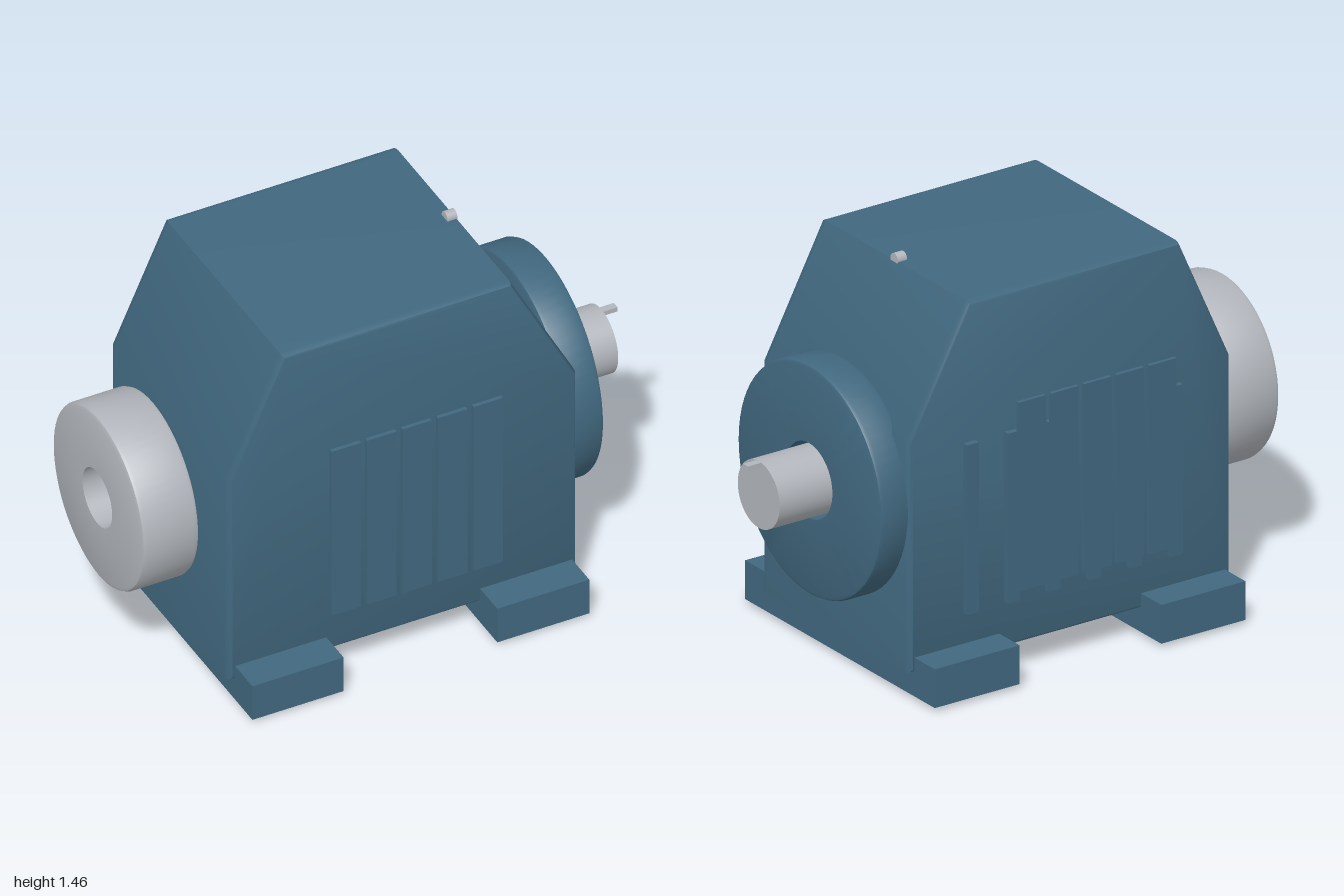
import * as THREE from 'three';
import { toCreasedNormals } from 'three/addons/utils/BufferGeometryUtils.js';

export function createModel() {
  const model = new THREE.Group();
  model.name = 'gearbox';
  const paint = new THREE.MeshStandardMaterial({ name: 'blue paint', color: 0x41687f });
  const steel = new THREE.MeshStandardMaterial({ name: 'bare steel', color: 0xb2b6bc });
  const axisY = 0.697;

  function add(name, geometry, material, x = 0, y = 0, z = 0) {
    const mesh = new THREE.Mesh(geometry, material);
    mesh.name = name;
    mesh.position.set(x, y, z);
    model.add(mesh);
    return mesh;
  }

  // Box given by its limits on each axis
  function box(name, material, x0, x1, y0, y1, z0, z1) {
    return add(name, new THREE.BoxGeometry(x1 - x0, y1 - y0, z1 - z0), material,
      (x0 + x1) / 2, (y0 + y1) / 2, (z0 + z1) / 2);
  }

  // Chamfered ring turned about the shaft axis, from x0 to x1
  function ring(name, material, x0, x1, outer, inner, chamfer) {
    const profile = [
      [inner, x0], [outer - chamfer, x0], [outer - chamfer * 0.3, x0 + chamfer * 0.3],
      [outer, x0 + chamfer], [outer, x1 - chamfer], [outer - chamfer * 0.3, x1 - chamfer * 0.3],
      [outer - chamfer, x1], [inner, x1], [inner, x0],
    ].map(([r, h]) => new THREE.Vector2(r, h));
    const geometry = toCreasedNormals(new THREE.LatheGeometry(profile, 64), 0.6);
    geometry.rotateZ(-Math.PI / 2);
    return add(name, geometry, material, 0, axisY, 0);
  }

  // Solid cylinder along x
  function rod(name, material, x0, x1, radius, y) {
    const geometry = new THREE.CylinderGeometry(radius, radius, x1 - x0, 48);
    geometry.rotateZ(-Math.PI / 2);
    return add(name, geometry, material, (x0 + x1) / 2, y, 0);
  }

  // Housing with sloping shoulders and softened front and back edges
  const outline = new THREE.Shape([
    [-0.72, 0.1], [0.625, 0.1], [0.625, 0.96], [0.375, 1.43], [-0.51, 1.43], [-0.72, 0.96],
  ].map(([x, y]) => new THREE.Vector2(x, y)));
  const housing = new THREE.ExtrudeGeometry(outline, {
    depth: 0.82, bevelEnabled: true, bevelThickness: 0.03, bevelSize: 0.015,
    bevelOffset: -0.015, bevelSegments: 3,
  });
  add('housing', toCreasedNormals(housing, 0.6), paint, 0, 0, -0.413);

  // Mounting feet
  box('leftFoot', paint, 0.25, 0.605, 0.015, 0.16, -0.565, 0.565);
  box('rightFoot', paint, -0.695, -0.343, 0.015, 0.16, -0.565, 0.565);

  // Output flange, shaft and key
  ring('outputFlange', paint, 0.59, 0.735, 0.43, 0.14, 0.016);
  rod('outputShaft', steel, 0.55, 0.945, 0.125, axisY);
  box('shaftKey', steel, 0.745, 1, 0.803, 0.821, -0.014, 0.014);

  // Input collar standing clear of the housing
  ring('inputCollar', steel, -1, -0.78, 0.34, 0.11, 0.018);

  // Vent slats on both sides
  for (let i = 0; i < 5; i++) {
    const x = -0.397 + i * 0.137;
    box('frontSlat', paint, x, x + 0.113, 0.37, 1.077, 0.565, 0.58);
    box('backSlat', paint, x, x + 0.113, 0.37, 1.077, -0.58, -0.565);
  }

  // Cooling ribs on the back wall
  for (let i = 0; i < 6; i++) {
    const x = -0.48 + i * 0.171;
    box('backRib', paint, x - 0.025, x + 0.025, 0.275, 0.91, -0.465, -0.43);
  }

  // Breather on top and drain plug underneath
  rod('breather', steel, 0.34, 0.378, 0.022, 1.434);
  add('drainPlug', new THREE.CylinderGeometry(0.026, 0.026, 0.04, 24), steel, -0.417, 0.02, 0);

  return model;
}
